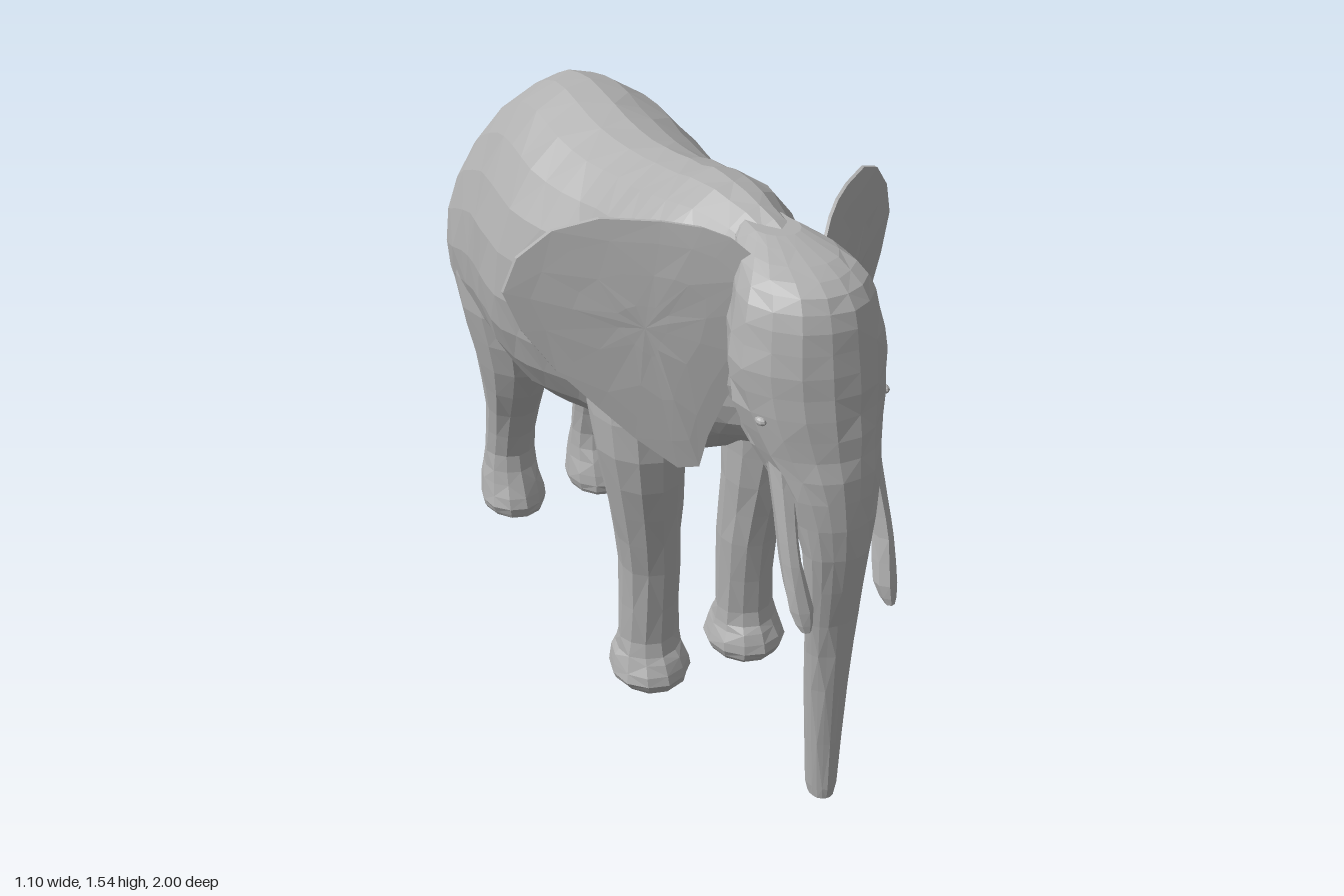
import * as THREE from 'three';

const skin = new THREE.MeshStandardMaterial({ color: 0xb0b0b0, flatShading: true });
skin.name = 'grey skin';

// Catmull-Rom interpolation between rows of numbers
function refine(rows, steps) {
  const out = [];
  const at = i => rows[Math.max(0, Math.min(rows.length - 1, i))];
  for (let i = 0; i < rows.length - 1; i++) {
    for (let k = 0; k < steps; k++) {
      const t = k / steps;
      out.push(rows[i].map((p1, j) => {
        const p0 = at(i - 1)[j], p2 = at(i + 1)[j], p3 = at(i + 2)[j];
        return p1 + 0.5 * t * (p2 - p0 + t * (2 * p0 - 5 * p1 + 4 * p2 - p3 + t * (3 * (p1 - p2) + p3 - p0)));
      }));
    }
  }
  out.push(rows[rows.length - 1]);
  return out;
}

// Small repeatable unevenness for wrinkled, hand-cut facets
const uneven = i => {
  const s = Math.sin(i * 12.9898 + 4.1) * 43758.5453;
  return (s - Math.floor(s) - 0.5) * 0.007;
};

// Closed skin over rings of points, faces always turned outward
function skinRings(name, rings) {
  const n = rings[0].length, pos = [], idx = [];
  rings.forEach(r => r.forEach(p => pos.push(...p)));
  for (let i = 0; i < rings.length - 1; i++) {
    for (let j = 0; j < n; j++) {
      const a = i * n + j, b = i * n + (j + 1) % n;
      if ((i + j) % 2) idx.push(a, b, a + n, b, b + n, a + n);
      else idx.push(a, b, b + n, a, b + n, a + n);
    }
  }
  [0, rings.length - 1].forEach((r, end) => {
    const c = pos.length / 3;
    pos.push(...[0, 1, 2].map(k => rings[r].reduce((s, p) => s + p[k], 0) / n));
    for (let j = 0; j < n; j++) {
      const a = r * n + j, b = r * n + (j + 1) % n;
      if (end) idx.push(a, b, c); else idx.push(b, a, c);
    }
  });
  const v = i => new THREE.Vector3().fromArray(pos, i * 3);
  let volume = 0;
  for (let i = 0; i < idx.length; i += 3) volume += v(idx[i]).dot(v(idx[i + 1]).cross(v(idx[i + 2])));
  if (volume < 0) idx.reverse();
  const g = new THREE.BufferGeometry();
  g.setAttribute('position', new THREE.Float32BufferAttribute(pos, 3));
  g.setIndex(idx);
  g.computeVertexNormals();
  const mesh = new THREE.Mesh(g, skin);
  mesh.name = name;
  return mesh;
}

const angles = n => Array.from({ length: n }, (_, j) => (j / n) * Math.PI * 2);

// Upright limb, rows: y, front z, back z, inner x, outer x; pinch narrows it by z
function limb(name, rows, side = 1, sides = 12, steps = 2, pinch = () => 1) {
  return skinRings(name, refine(rows, steps).map(([y, zf, zb, xi, xo], i) => angles(sides).map((a, j) => {
    const z = (zf + zb) / 2 + (zf - zb) / 2 * Math.sin(a);
    const x = (xi + xo) / 2 + (xo - xi) / 2 * Math.cos(a) * pinch(z);
    const bump = uneven(i * sides + j) * Math.min(1, (xo - xi) * 5);
    return [side * (x + bump * Math.cos(a)), y, z + bump * Math.sin(a)];
  })));
}
const centred = rows => rows.map(([y, zf, zb, w]) => [y, zf, zb, -w, w]);

// Torso, rows: z, top y, bottom y, half width; the back rises to a soft spine
function torso() {
  const rows = [
    [0.75, 1.44, 1.03, 0.09], [0.65, 1.48, 0.94, 0.13], [0.52, 1.51, 0.88, 0.175], [0.4, 1.528, 0.8, 0.245],
    [0.3, 1.525, 0.74, 0.29], [0.18, 1.508, 0.71, 0.305], [0.05, 1.495, 0.68, 0.297], [-0.1, 1.495, 0.655, 0.34],
    [-0.25, 1.52, 0.62, 0.372], [-0.4, 1.55, 0.6, 0.362], [-0.55, 1.532, 0.595, 0.335], [-0.7, 1.46, 0.6, 0.328],
    [-0.8, 1.37, 0.64, 0.315], [-0.87, 1.285, 0.76, 0.26], [-0.925, 1.195, 0.86, 0.15], [-0.96, 1.12, 0.93, 0.065],
    [-0.985, 1.04, 0.98, 0.015]];
  return skinRings('torso', refine(rows, 2).map(([z, top, bottom, w], i) => {
    const mid = bottom + (top - bottom) * 0.46;
    return angles(24).map((a, j) => {
      const s = Math.sin(a), c = Math.cos(a), bump = uneven(i * 24 + j);
      const x = w * Math.sign(c) * Math.abs(c) ** (s > 0 ? 1.15 : 0.9);
      return [x + bump * c, mid + s * ((s > 0 ? top - mid : mid - bottom) + bump), z];
    });
  }));
}

// Fan-shaped ear sweeping outward and back, its thick root sunk into the head
function ear(side) {
  const outline = [
    [0.07, 1.43], [0.13, 1.49], [0.18, 1.508], [0.25, 1.512], [0.36, 1.505], [0.45, 1.465], [0.52, 1.39], [0.55, 1.3],
    [0.515, 1.2], [0.45, 1.1], [0.37, 1.01], [0.3, 0.935], [0.22, 0.868], [0.18, 0.88], [0.165, 0.97], [0.135, 1.08],
    [0.09, 1.2], [0.07, 1.33]];
  const sheet = (r, face) => outline.map(([ox, oy], j) => {
    const x = 0.29 + (ox - 0.29) * r, y = 1.25 + (oy - 1.25) * r;
    const u = (x - 0.1) / 0.45;
    const z = 0.65 - 0.38 * u - 0.08 * u * (1 - u);
    const thick = 0.006 + (0.01 + 0.022 * (1 - u)) * (1 - r * r);
    const bump = uneven(j + Math.round(r * 100)) * (1 - r);
    return [side * x, y, z + face * thick + bump];
  });
  const rings = [[0.2, 1], [0.5, 1], [0.8, 1], [1, 1], [1, -1], [0.8, -1], [0.5, -1], [0.2, -1]];
  return skinRings('ear', rings.map(([r, f]) => sheet(r, f)));
}

export function createModel() {
  const model = new THREE.Group();
  model.name = 'elephant';
  model.add(torso());

  // Head running down into the trunk, narrowing behind the cheeks
  const nape = z => 1 - 0.35 * THREE.MathUtils.clamp((0.76 - z) / 0.2, 0, 1);
  model.add(limb('headAndTrunk', centred([
    [0.055, 0.955, 0.885, 0.03], [0.08, 0.96, 0.872, 0.038], [0.4, 0.96, 0.868, 0.058], [0.6, 0.965, 0.865, 0.07],
    [0.8, 0.982, 0.86, 0.086], [0.95, 0.975, 0.79, 0.12], [1.05, 0.955, 0.64, 0.158], [1.15, 0.935, 0.55, 0.192],
    [1.25, 0.92, 0.5, 0.2], [1.35, 0.9, 0.48, 0.185], [1.42, 0.865, 0.46, 0.16], [1.46, 0.78, 0.46, 0.13],
    [1.487, 0.66, 0.48, 0.08]]), 1, 18, 2, nape));
  model.add(limb('lowerJaw', centred([
    [0.85, 0.775, 0.745, 0.025], [0.9, 0.81, 0.69, 0.07], [1, 0.86, 0.56, 0.115], [1.1, 0.8, 0.53, 0.13]]), 1, 10));

  for (const side of [1, -1]) {
    model.add(ear(side));
    model.add(limb('frontLeg', [
      [0.01, 0.36, 0.15, 0.055, 0.25], [0.045, 0.38, 0.13, 0.04, 0.27], [0.1, 0.355, 0.142, 0.055, 0.258],
      [0.16, 0.33, 0.172, 0.07, 0.242], [0.4, 0.345, 0.165, 0.07, 0.238], [0.6, 0.375, 0.16, 0.075, 0.27],
      [0.8, 0.405, 0.13, 0.07, 0.308], [1, 0.38, 0.1, 0.05, 0.308], [1.25, 0.32, 0.1, 0.05, 0.24]], side));
    model.add(limb('hindLeg', [
      [0.01, -0.64, -0.865, 0.06, 0.25], [0.045, -0.63, -0.88, 0.05, 0.262], [0.12, -0.66, -0.875, 0.06, 0.25],
      [0.22, -0.685, -0.848, 0.075, 0.235], [0.4, -0.625, -0.812, 0.07, 0.24], [0.6, -0.51, -0.83, 0.045, 0.275],
      [0.8, -0.48, -0.875, 0.025, 0.315], [1, -0.53, -0.905, 0.02, 0.315], [1.25, -0.58, -0.84, 0.03, 0.24]], side));
    // Tusk slanting down and forward from the cheek
    model.add(limb('tusk', [
      [0.64, 0.998, 0.975, 0.105, 0.13], [0.69, 0.99, 0.93, 0.088, 0.148], [0.8, 0.955, 0.885, 0.105, 0.15],
      [0.9, 0.92, 0.85, 0.1, 0.148], [1.03, 0.88, 0.79, 0.08, 0.145]], side, 7));
    const eye = new THREE.Mesh(new THREE.SphereGeometry(0.018, 8, 6), skin);
    eye.name = 'eye';
    eye.scale.set(0.7, 0.6, 1);
    eye.position.set(side * 0.165, 1.135, 0.83);
    model.add(eye);
  }

  // Thin tail with a flat tuft
  model.add(limb('tail', centred([
    [0.265, -0.94, -0.97, 0.008], [0.3, -0.92, -0.988, 0.016], [0.38, -0.912, -1, 0.022], [0.45, -0.93, -0.982, 0.016],
    [0.52, -0.942, -0.968, 0.011], [0.75, -0.935, -0.968, 0.013], [0.93, -0.92, -0.972, 0.02],
    [1.04, -0.9, -0.985, 0.03], [1.1, -0.88, -0.955, 0.025]]), 1, 8));
  return model;
}
